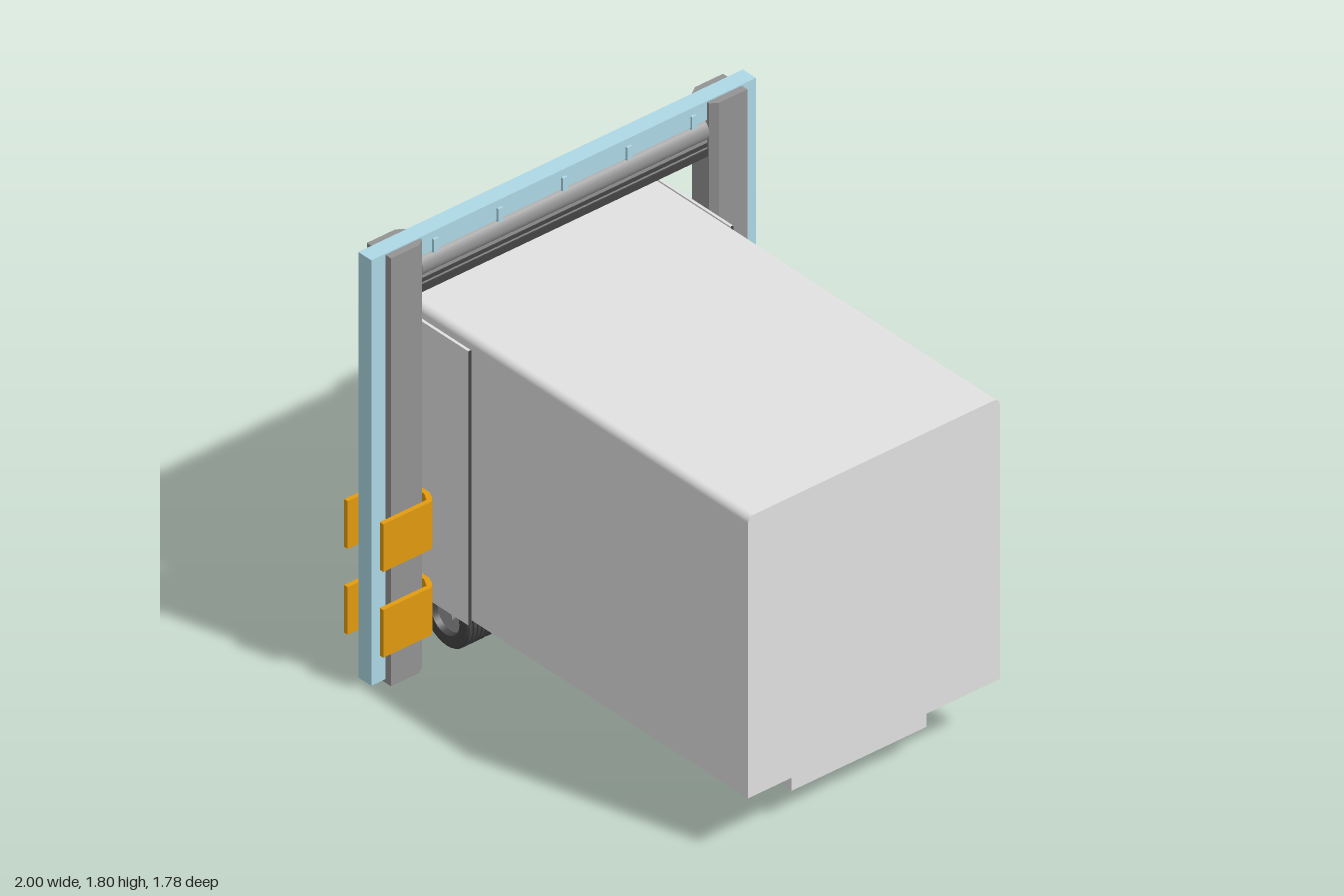
import * as THREE from 'three';

const mat = (name, color, extra = {}) => {
  const m = new THREE.MeshStandardMaterial({ color, ...extra });
  m.name = name;
  return m;
};

export function createModel() {
  const root = new THREE.Group();
  root.name = 'truckBodyWithGantry';
  const body = mat('paleGrey', 0xe2e2e2);
  const steel = mat('midGrey', 0x939393);
  const dark = mat('darkRubber', 0x444444);
  const blue = mat('lightBlue', 0xadd8e6);
  const orange = mat('orange', 0xe39c0f);
  const brown = mat('brownFloor', 0x483629);

  const add = (name, geo, m, parent = root) => {
    const mesh = new THREE.Mesh(geo, m);
    mesh.name = name;
    parent.add(mesh);
    return mesh;
  };
  // Box given by its limits on each axis
  const box = (name, m, x0, x1, y0, y1, z0, z1, parent = root) => {
    const mesh = add(name, new THREE.BoxGeometry(x1 - x0, y1 - y0, z1 - z0), m, parent);
    mesh.position.set((x0 + x1) / 2, (y0 + y1) / 2, (z0 + z1) / 2);
    return mesh;
  };
  // Outline in z and y, extruded along x
  const alongX = (shape, x0, x1) =>
    new THREE.ExtrudeGeometry(shape, { depth: x1 - x0, bevelEnabled: false, curveSegments: 6 })
      .rotateY(Math.PI / 2).translate(x0, 0, 0);
  // Outline in x and z, extruded along y
  const alongY = (pts, y0, y1) =>
    new THREE.ExtrudeGeometry(new THREE.Shape(pts.map(([x, z]) => new THREE.Vector2(x, -z))),
      { depth: y1 - y0, bevelEnabled: false }).rotateX(-Math.PI / 2).translate(0, y0, 0);
  const mirrorX = half => [...half, ...half.slice().reverse().map(([x, z]) => [-x, z])];

  // Cargo body: rounded roof edges, open at the rear, closed by a bulkhead
  const section = (w, y0, y1, r) => {
    const s = new THREE.Shape();
    s.moveTo(-w, y0);
    s.lineTo(w, y0);
    s.lineTo(w, y1 - r);
    s.absarc(w - r, y1 - r, r, 0, Math.PI / 2, false);
    s.lineTo(-w + r, y1);
    s.absarc(-w + r, y1 - r, r, Math.PI / 2, Math.PI, false);
    s.closePath();
    return s;
  };
  const shell = section(0.58, 0.25, 1.43, 0.03);
  add('frontBody', alongX(shell, -0.48, 1), body);
  const open = section(0.58, 0.25, 1.43, 0.03);
  open.holes.push(new THREE.Path([[-0.56, 0.275], [-0.56, 1.4], [0.56, 1.4], [0.56, 0.275]]
    .map(p => new THREE.Vector2(...p))));
  add('rearShell', alongX(open, -0.95, -0.48), body);
  box('cargoFloor', brown, -0.945, -0.48, 0.274, 0.284, -0.56, 0.56);
  box('bulkheadRail', body, -0.495, -0.479, 0.284, 0.31, -0.56, 0.56);
  box('rearSill', body, -0.97, -0.95, 0.25, 0.275, -0.57, 0.57);
  box('chassis', body, -0.88, 0.92, 0.125, 0.25, -0.31, 0.31);

  // Rear underrun bar
  for (const [x0, y0, y1] of [[-0.98, 0.105, 0.135], [-0.955, 0.19, 0.225]])
    box('bumperBar', body, x0, -0.92, y0, y1, -0.5, 0.5);
  const endProfile = new THREE.Shape([[-0.985, 0.105], [-0.92, 0.105], [-0.92, 0.235], [-0.96, 0.235], [-0.972, 0.22]]
    .map(p => new THREE.Vector2(...p)));

  // Ribbed tyre, with the grooves cut in its outline
  const tyrePts = [[0.075, -0.05], [0.115, -0.05]];
  for (let i = 0; i < 5; i++) {
    const a = -0.048 + i * 0.02;
    tyrePts.push([0.125, a], [0.125, a + 0.012]);
    if (i < 4) tyrePts.push([0.118, a + 0.014], [0.118, a + 0.018]);
  }
  tyrePts.push([0.115, 0.05], [0.075, 0.05], [0.07, 0.02], [0.07, -0.02], [0.075, -0.05]);
  // Split corners keep the ribs crisp
  const crisp = tyrePts.flatMap(p => [p, p]).map(p => new THREE.Vector2(...p));
  const tyre = new THREE.LatheGeometry(crisp, 32).rotateX(Math.PI / 2);
  const disc = new THREE.CylinderGeometry(0.076, 0.076, 0.05, 32).rotateX(Math.PI / 2);
  const hub = new THREE.CylinderGeometry(0.025, 0.03, 0.08, 16).rotateX(Math.PI / 2);
  add('axle', new THREE.CylinderGeometry(0.04, 0.04, 0.96, 16).rotateX(Math.PI / 2), dark)
    .position.set(-0.67, 0.155, 0);

  for (const s of [1, -1]) {
    const side = s > 0 ? 'Left' : 'Right';
    const span = (a, b) => s > 0 ? [a, b] : [-b, -a];

    for (const z of [0.372, 0.49]) {
      const wheel = new THREE.Group();
      wheel.name = 'wheel' + side;
      wheel.position.set(-0.67, 0.155, s * z);
      add('tyre', tyre, dark, wheel);
      add('wheelDisc', disc, steel, wheel);
      add('wheelHub', hub, steel, wheel);
      root.add(wheel);
    }

    add('bumperEnd' + side, new THREE.ExtrudeGeometry(endProfile, { depth: 0.02, bevelEnabled: false }), body)
      .position.z = s > 0 ? 0.495 : -0.515;

    // Tapered rubber buffer
    add('dockBuffer' + side, alongY([[-1, 0.39], [-1, 0.505], [-0.95, 0.52], [-0.95, 0.37]], 0.25, 0.292), dark)
      .position.z = s > 0 ? 0 : -0.89;

    // Open rear door folded along the side, with hinges
    box('rearDoor' + side, body, -0.94, -0.465, 0.25, 1.4, ...span(0.598, 0.61));
    box('doorSeal' + side, dark, -0.467, -0.462, 0.25, 1.4, ...span(0.599, 0.609));
    for (const [y0, y1] of [[1.245, 1.31], [0.39, 0.432]]) {
      box('hinge' + side, dark, -0.955, -0.91, y0, y1, ...span(0.582, 0.625));
      add('hingePin' + side, new THREE.CylinderGeometry(0.016, 0.016, y1 - y0, 12), dark)
        .position.set(-0.955, (y0 + y1) / 2, s * 0.612);
    }
    box('bulkheadCorner' + side, dark, -0.505, -0.48, 0.284, 1.4, ...span(0.545, 0.56));

    // Gantry leg, turned half round for the far side
    const leg = new THREE.Group();
    leg.name = 'gantryLeg' + side;
    leg.position.x = -0.7;
    leg.rotation.y = s > 0 ? 0 : Math.PI;
    root.add(leg);
    add('post', alongY(mirrorX([[0.045, 0.66], [0.065, 0.69], [0.065, 0.82]]).reverse(), 0, 1.795), steel, leg);
    box('outerRail', blue, -0.035, 0.035, 0.015, 1.8, 0.82, 0.885, leg);
    // U-shaped guards round the post
    const guard = mirrorX([[0.055, 0.635], [0.088, 0.65], [0.105, 0.668], [0.105, 0.89], [0.086, 0.89], [0.086, 0.675], [0.05, 0.655]]);
    const half = guard.length / 2;
    const outline = [...guard.slice(0, half), ...guard.slice(half)];
    for (const y of [0.17, 0.53]) add('postGuard', alongY(outline, y, y + 0.2), orange, leg);
  }

  // Gantry top beam with its roller, brush and clips
  box('topBeam', blue, -0.735, -0.665, 1.72, 1.8, -0.86, 0.86);
  add('curtainRoller', new THREE.CylinderGeometry(0.048, 0.048, 1.32, 24).rotateX(Math.PI / 2), steel)
    .position.set(-0.7, 1.672, 0);
  box('rollerHousing', steel, -0.735, -0.665, 1.6, 1.675, -0.66, 0.66);
  box('bottomBrush', dark, -0.74, -0.66, 1.57, 1.6, -0.66, 0.66);
  box('brushTrim', dark, -0.738, -0.662, 1.61, 1.625, -0.66, 0.66);
  for (let i = -2; i <= 2; i++)
    box('beamClip', blue, -0.745, -0.655, 1.715, 1.77, i * 0.297 - 0.011, i * 0.297 + 0.011);

  return root;
}
